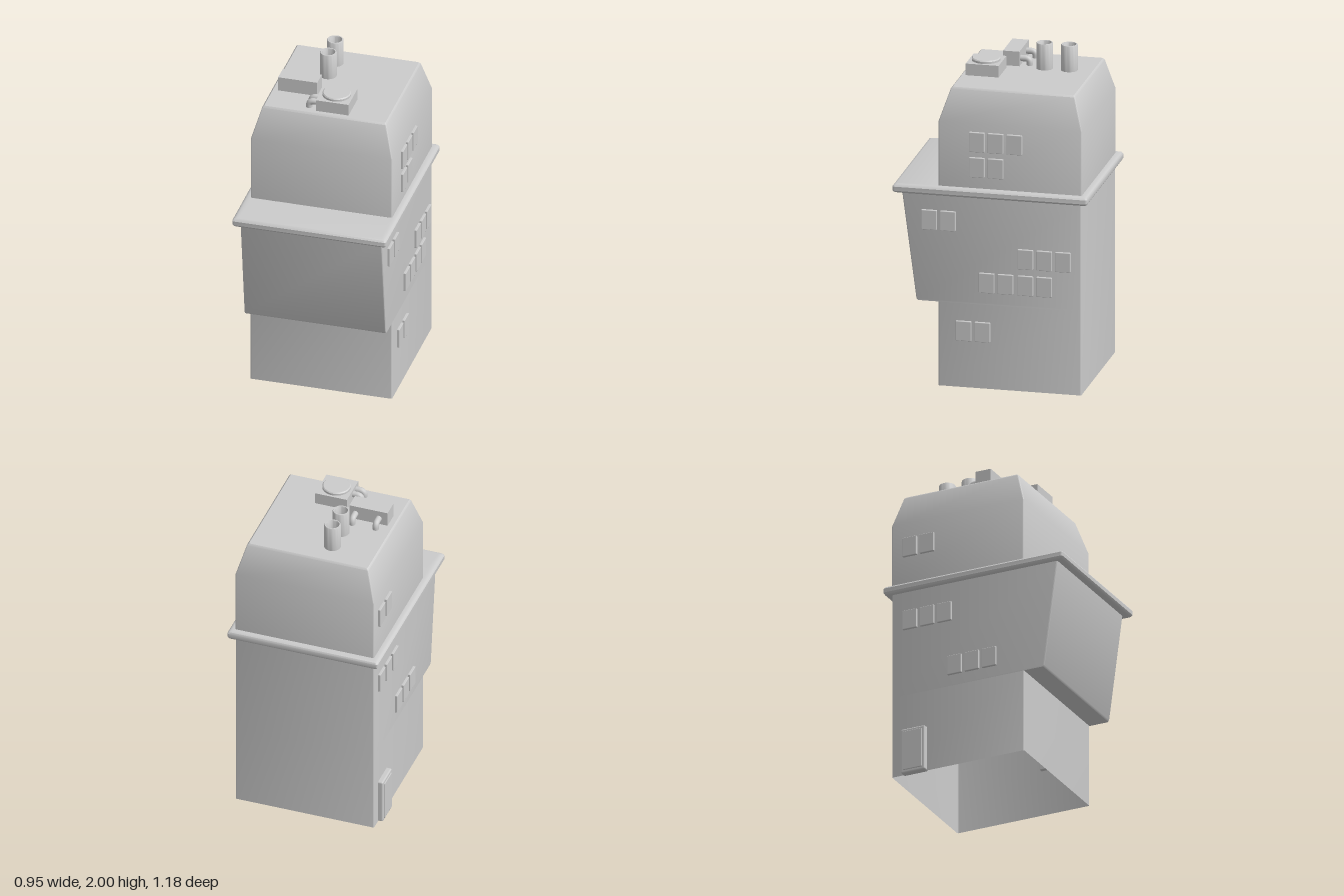
import * as THREE from 'three';
import { toCreasedNormals } from 'three/addons/utils/BufferGeometryUtils.js';
import { RoundedBoxGeometry } from 'three/addons/geometries/RoundedBoxGeometry.js';

const material = new THREE.MeshStandardMaterial({ color: 0xcccccc });
const shellMaterial = new THREE.MeshStandardMaterial({ color: 0xcccccc, side: THREE.DoubleSide });

// Rounded rectangle in plan, running from +x towards +z
function planRing(y, halfX, back, front, r) {
  const corners = [[halfX - r, front - r], [-halfX + r, front - r], [-halfX + r, back + r], [halfX - r, back + r]];
  const points = [];
  corners.forEach(([x, z], c) => {
    for (let i = 0; i <= 3; i++) {
      const a = (c + i / 3) * Math.PI / 2;
      points.push([x + r * Math.cos(a), y, z + r * Math.sin(a)]);
    }
  });
  return points;
}

// Skin stacked plan sections [y, halfX, back, front], optionally closing the top
function loft(sections, r, closeTop = false) {
  const rings = sections.map(([y, hx, b, f]) => planRing(y, hx, b, f, r));
  const n = rings[0].length;
  const index = [];
  for (let i = 0; i < rings.length - 1; i++) {
    for (let j = 0; j < n; j++) {
      const a = i * n + j, b = i * n + (j + 1) % n;
      index.push(a, a + n, b, b, a + n, b + n);
    }
  }
  const points = rings.flat();
  if (closeTop) {
    const [y, , b, f] = sections[sections.length - 1];
    const top = (rings.length - 1) * n;
    points.push([0, y, (b + f) / 2]);
    for (let j = 0; j < n; j++) index.push(points.length - 1, top + (j + 1) % n, top + j);
  }
  const g = new THREE.BufferGeometry();
  g.setAttribute('position', new THREE.Float32BufferAttribute(points.flat(), 3));
  g.setIndex(index);
  return toCreasedNormals(g, 0.6);
}

export function createModel() {
  const model = new THREE.Group();
  model.name = 'towerHouse';

  const add = (name, geometry, x = 0, y = 0, z = 0, mat = material) => {
    const mesh = new THREE.Mesh(geometry, mat);
    mesh.name = name;
    mesh.position.set(x, y, z);
    model.add(mesh);
    return mesh;
  };
  // Box given by its limits
  const box = (name, x0, x1, y0, y1, z0, z1) =>
    add(name, new THREE.BoxGeometry(x1 - x0, y1 - y0, z1 - z0), (x0 + x1) / 2, (y0 + y1) / 2, (z0 + z1) / 2);

  // Hollow lower storeys with the front overhang
  add('lowerWalls', loft([
    [0, 0.435, -0.55, 0.32],
    [0.52, 0.435, -0.55, 0.32],
    [0.52, 0.435, -0.55, 0.445],
    [0.53, 0.435, -0.55, 0.453],
    [1.19, 0.435, -0.55, 0.54],
  ], 0.008), 0, 0, 0, shellMaterial);

  // Rounded ledge around the building
  add('cornice', loft([
    [1.19, 0.435, -0.55, 0.54],
    [1.185, 0.455, -0.575, 0.57],
    [1.19, 0.466, -0.587, 0.583],
    [1.2, 0.473, -0.593, 0.59],
    [1.225, 0.473, -0.593, 0.59],
    [1.235, 0.466, -0.587, 0.583],
    [1.24, 0.453, -0.573, 0.57],
    [1.24, 0.435, -0.55, 0.32],
  ], 0.014), 0, 0, 0, shellMaterial);

  // Upper storey and sloped roof
  add('upperWallsAndRoof', loft([
    [1.24, 0.435, -0.553, 0.318],
    [1.64, 0.435, -0.553, 0.318],
    [1.83, 0.382, -0.5, 0.256],
    [1.84, 0.372, -0.49, 0.246],
  ], 0.008, true), 0, 0, 0, shellMaterial);

  // Window rows: side, bottom height, front-most z, count
  const windowRows = [
    [1, 1.467, 0.13, 3], [1, 1.31, 0.13, 2], [1, 0.965, 0.42, 2],
    [1, 0.76, -0.165, 3], [1, 0.597, 0.07, 2], [1, 0.597, -0.165, 2], [1, 0.29, 0.21, 2],
    [-1, 1.42, -0.27, 2], [-1, 0.945, -0.155, 3], [-1, 0.59, 0.14, 3],
  ];
  const windowGeometry = new RoundedBoxGeometry(0.04, 0.122, 0.094, 1, 0.004);
  for (const [side, bottom, front, count] of windowRows) {
    for (let i = 0; i < count; i++) {
      add('window', windowGeometry, side * 0.43, bottom + 0.061, front - 0.047 - i * 0.114);
    }
  }

  // Side door with a raised panel
  add('door', new RoundedBoxGeometry(0.05, 0.287, 0.16, 2, 0.01), -0.441, 0.1435, -0.4);
  add('doorPanel', new RoundedBoxGeometry(0.02, 0.25, 0.125, 1, 0.004), -0.462, 0.1435, -0.4);

  // Open chimney pipes
  const chimneyProfile = [[0.05, 0], [0.05, 0.155], [0.047, 0.16], [0.041, 0.16], [0.038, 0.155], [0.036, 0.06], [0, 0.05]]
    .map(([x, y]) => new THREE.Vector2(x, y));
  const chimneyGeometry = toCreasedNormals(new THREE.LatheGeometry(chimneyProfile, 32), 0.6);
  for (const z of [-0.35, -0.2]) add('chimney', chimneyGeometry, -0.103, 1.84, z, shellMaterial);

  // Roof box and fan unit
  box('roofBox', -0.34, -0.1, 1.83, 1.93, -0.047, 0.053);
  box('fanUnit', -0.06, 0.14, 1.83, 1.912, 0.022, 0.222);
  const fanProfile = [[0.085, 0], [0.085, 0.014], [0.079, 0.02], [0, 0.02]].map(([x, y]) => new THREE.Vector2(x, y));
  add('fanCover', toCreasedNormals(new THREE.LatheGeometry(fanProfile, 40), 0.6), 0.04, 1.91, 0.122);

  // Elbow pipes running out along +x and bending down into the roof
  const bend = new THREE.CurvePath();
  const v = (x, y) => new THREE.Vector3(x, y, 0);
  bend.add(new THREE.LineCurve3(v(-0.02, 0.04), v(0.022, 0.04)));
  bend.add(new THREE.QuadraticBezierCurve3(v(0.022, 0.04), v(0.052, 0.04), v(0.052, 0.012)));
  bend.add(new THREE.LineCurve3(v(0.052, 0.012), v(0.052, -0.01)));
  const pipeGeometry = new THREE.TubeGeometry(bend, 20, 0.019, 14);
  for (const x of [-0.285, -0.138]) add('boxPipe', pipeGeometry, x, 1.84, -0.05).rotation.y = Math.PI / 2;
  for (const z of [0.133, 0.183]) add('fanPipe', pipeGeometry, -0.06, 1.84, z).rotation.y = Math.PI;

  return model;
}
